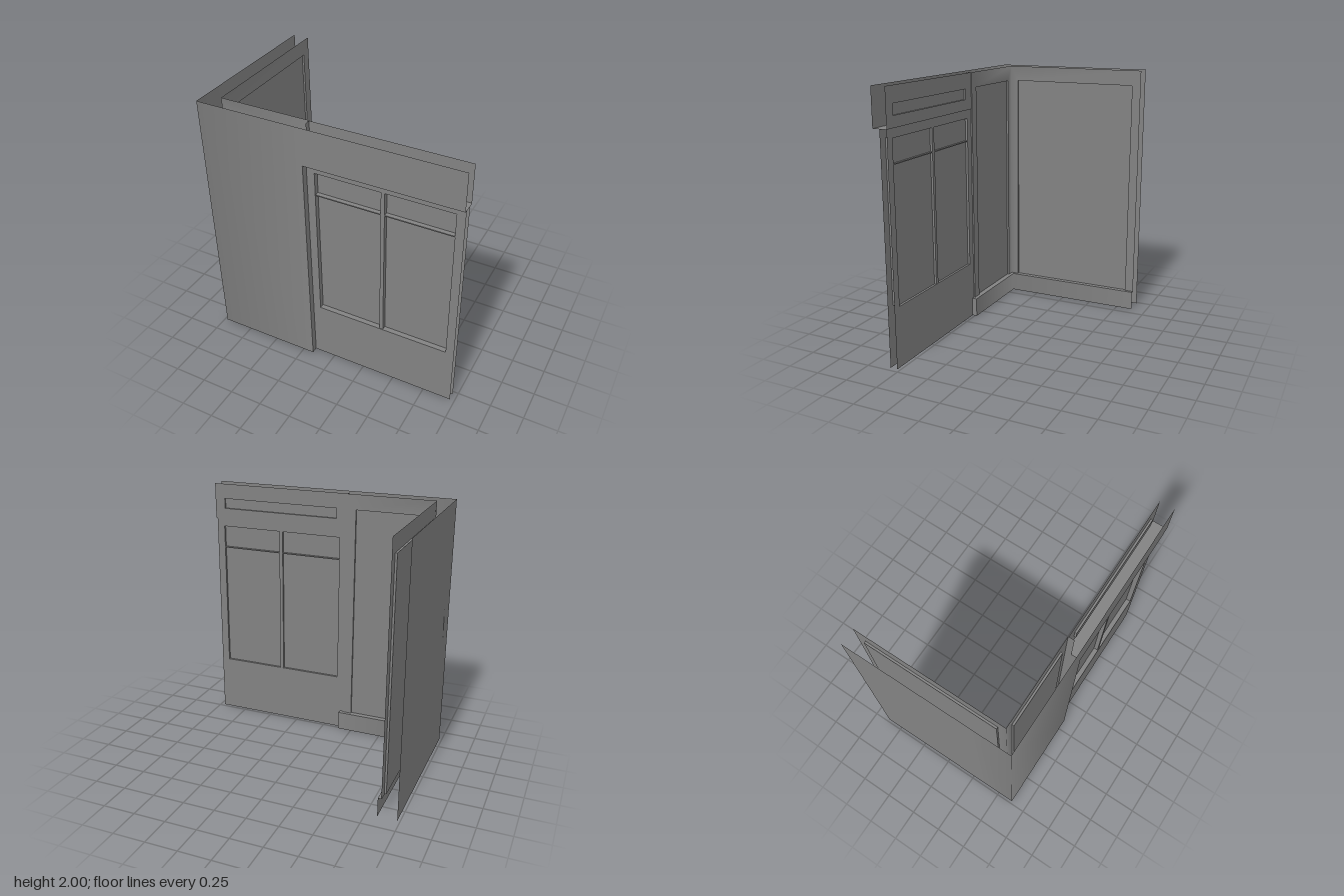
import * as THREE from 'three';

const mat = new THREE.MeshStandardMaterial({ color: 0x828282, side: THREE.DoubleSide });

function add(parent, geo, name) {
  const m = new THREE.Mesh(geo, mat);
  m.name = name;
  parent.add(m);
  return m;
}

// Upright sheet following a path of [x, z] points, smooth round its corners
function ribbon(path, y0, y1) {
  const pos = [], nor = [], idx = [];
  const last = path.length - 1;
  const sideways = i => {
    const [a, b] = [path[i], path[i + 1]];
    return new THREE.Vector3(a[1] - b[1], 0, b[0] - a[0]).normalize();
  };
  path.forEach(([x, z], i) => {
    const n = sideways(Math.max(i - 1, 0)).add(sideways(Math.min(i, last - 1))).normalize();
    pos.push(x, y0, z, x, y1, z);
    nor.push(n.x, 0, n.z, n.x, 0, n.z);
    if (i) {
      const a = 2 * (i - 1);
      idx.push(a, a + 2, a + 1, a + 2, a + 3, a + 1);
    }
  });
  const g = new THREE.BufferGeometry();
  g.setAttribute('position', new THREE.Float32BufferAttribute(pos, 3));
  g.setAttribute('normal', new THREE.Float32BufferAttribute(nor, 3));
  g.setIndex(idx);
  return g;
}

// Horizontal sheet facing up from a polygon of [x, z] points
function ledge(points, y) {
  const s = new THREE.Shape(points.map(([x, z]) => new THREE.Vector2(x, -z)));
  return new THREE.ShapeGeometry(s).rotateX(-Math.PI / 2).translate(0, y, 0);
}

function rectPoints([u0, u1, y0, y1]) {
  return [[u0, y0], [u1, y0], [u1, y1], [u0, y1]].map(p => new THREE.Vector2(...p));
}

// Flat sheet facing +z with an optional rectangular opening
function sheet(rect, hole) {
  const s = new THREE.Shape(rectPoints(rect));
  if (hole) s.holes.push(new THREE.Path(rectPoints(hole).reverse()));
  return new THREE.ShapeGeometry(s);
}

// Four inner sides of an opening, reaching back from z = 0
function reveal([u0, u1, y0, y1], depth) {
  const c = [[u0, y0], [u0, y1], [u1, y1], [u1, y0], [u0, y0]];
  const pos = [];
  for (let i = 0; i < 4; i++) {
    const [a, b] = c[i], [d, e] = c[i + 1];
    pos.push(a, b, 0, d, e, 0, d, e, -depth, a, b, 0, d, e, -depth, a, b, -depth);
  }
  const g = new THREE.BufferGeometry();
  g.setAttribute('position', new THREE.Float32BufferAttribute(pos, 3));
  g.computeVertexNormals();
  return g;
}

// Wall sheet with a recessed panel; cornerSide blends the shading at one end
function panelWall(name, rect, hole, depth, cornerSide = 0) {
  const g = new THREE.Group();
  g.name = name;
  const face = sheet(rect, hole);
  if (cornerSide) {
    const p = face.attributes.position, n = face.attributes.normal;
    const end = cornerSide > 0 ? rect[1] : rect[0];
    for (let i = 0; i < p.count; i++)
      if (Math.abs(p.getX(i) - end) < 1e-4) n.setXYZ(i, -cornerSide * Math.SQRT1_2, 0, Math.SQRT1_2);
  }
  add(g, face, name + 'Face');
  add(g, reveal(hole, depth), name + 'Reveal');
  add(g, sheet(hole).translate(0, 0, -depth), name + 'Panel');
  return g;
}

export function createModel() {
  const root = new THREE.Group();
  root.name = 'cornerWall';

  // Outer shell: side wall and front pier, then the header over the bay
  add(root, ribbon([[-0.98, -0.63], [-0.98, 0.34], [-0.98, 0.628], [-0.167, 0.628]], 0, 2), 'outerWall');
  add(root, ribbon([[-0.167, 0.628], [0.975, 0.628]], 1.717, 2), 'outerHeader');
  add(root, ribbon([[-0.167, 0.628], [-0.167, 0.513]], 0, 1.717), 'bayJamb');
  add(root, ribbon([[-0.167, 0.56], [-0.167, 0.513]], 1.717, 2), 'pierReturn');
  add(root, ledge([[-0.167, 0.628], [0.975, 0.628], [0.975, 0.518], [-0.167, 0.518]], 1.717), 'headerSoffit');

  // Inner side wall facing +x (local u runs along -z)
  const side = panelWall('innerSideWall', [-0.513, 0.63, 0.14, 2], [-0.45, 0.56, 0.15, 1.88], 0.015, -1);
  side.rotation.y = Math.PI / 2;
  side.position.x = -0.86;

  // Inner pier and header facing -z (local u runs along -x)
  const pier = panelWall('innerPier', [0.167, 0.86, 0.14, 2], [0.24, 0.8, 0.15, 1.88], 0.015, 1);
  const header = panelWall('innerHeader', [-0.973, 0.167, 1.717, 2], [-0.89, 0.08, 1.8, 1.88], 0.015);
  pier.position.z = 0.513;
  header.position.z = 0.518;
  pier.rotation.y = header.rotation.y = Math.PI;
  root.add(side, pier, header);

  // Baseboard wrapping the inner corner and the end of the pier
  add(root, ribbon([[-0.14, 0.485], [-0.835, 0.485], [-0.835, -0.63]], 0, 0.15), 'baseboardFace');
  add(root, ribbon([[-0.14, 0.56], [-0.14, 0.485]], 0, 0.15), 'baseboardEnd');
  add(root, ledge([[-0.86, -0.63], [-0.86, 0.513], [-0.167, 0.513], [-0.167, 0.56], [-0.14, 0.56],
    [-0.14, 0.485], [-0.835, 0.485], [-0.835, -0.63]].reverse(), 0.15), 'baseboardTop');

  // Window wall: outer and inner skins around one shared opening
  const bay = [-0.167, 0.965, 0, 1.717], opening = [-0.108, 0.903, 0.457, 1.65];
  const win = new THREE.Group();
  win.name = 'windowWall';
  add(win, sheet(bay, opening).translate(0, 0, 0.58), 'windowWallOuter');
  const flipped = ([u0, u1, y0, y1]) => [-u1, -u0, y0, y1];
  add(win, sheet(flipped(bay), flipped(opening)).rotateY(Math.PI).translate(0, 0, 0.524), 'windowWallInner');
  add(win, reveal(opening, 0.056).translate(0, 0, 0.58), 'windowReveal');
  add(win, sheet(opening).translate(0, 0, 0.542), 'windowPane');

  // Mullion and transom bars
  add(win, new THREE.BoxGeometry(0.028, 1.193, 0.05).translate(0.395, 1.0535, 0.55), 'mullion');
  add(win, new THREE.BoxGeometry(1.011, 0.008, 0.05).translate(0.3975, 1.472, 0.55), 'transom');
  root.add(win);

  return root;
}
